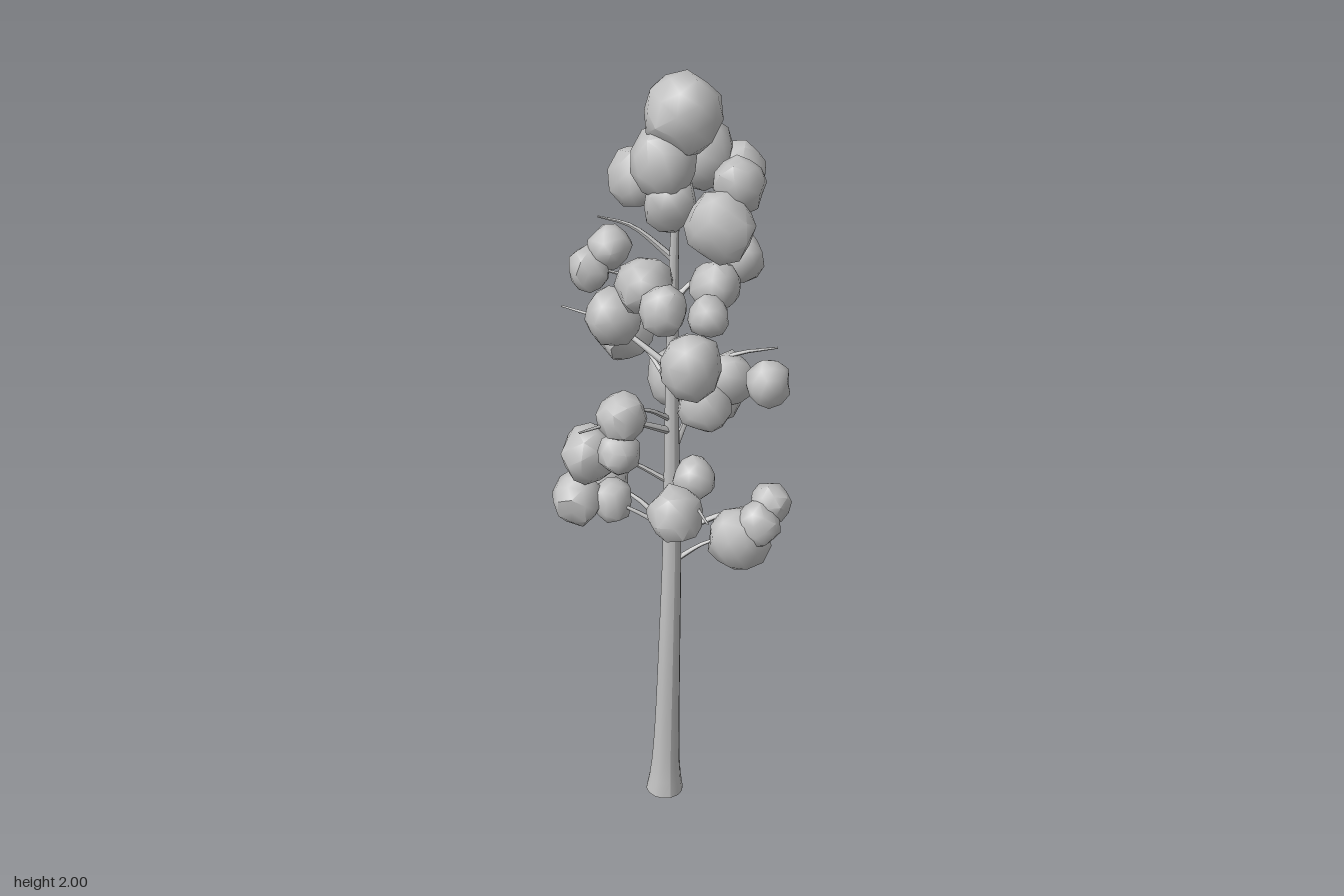
import * as THREE from 'three';
import { mergeVertices, toCreasedNormals } from 'three/addons/utils/BufferGeometryUtils.js';

const grey = new THREE.MeshStandardMaterial({ color: 0xc0c0c0 });
grey.name = 'grey';

let seed = 7;
const rand = () => {
  seed = (seed * 16807) % 2147483647;
  return seed / 2147483647;
};

// Tube along a curve, each ring scaled to the radius given for its place
function taperedTube(curve, steps, sides, radiusAt) {
  const geo = new THREE.TubeGeometry(curve, steps, 1, sides, false);
  const pos = geo.attributes.position;
  const centre = new THREE.Vector3(), v = new THREE.Vector3();
  for (let i = 0; i < pos.count; i++) {
    const t = Math.floor(i / (sides + 1)) / steps;
    curve.getPointAt(t, centre);
    v.fromBufferAttribute(pos, i).sub(centre).multiplyScalar(radiusAt(t)).add(centre);
    pos.setXYZ(i, v.x, v.y, v.z);
  }
  geo.computeVertexNormals();
  return geo;
}

// Lumpy low-poly ball, slightly taller than wide
function leafBall(radius) {
  let geo = new THREE.IcosahedronGeometry(1, 1);
  geo.deleteAttribute('normal');
  geo.deleteAttribute('uv');
  geo = mergeVertices(geo, 1e-3);
  const pos = geo.attributes.position;
  for (let i = 0; i < pos.count; i++) {
    const s = radius * (0.92 + 0.22 * rand());
    pos.setXYZ(i, pos.getX(i) * s, pos.getY(i) * s, pos.getZ(i) * s);
  }
  geo.rotateY(rand() * 6.28);
  geo.rotateX(rand() * 6.28);
  geo.scale(1, 1.07, 1);
  return toCreasedNormals(geo, 1);
}

// Trunk centre line: x, y, z
const trunkPoints = [
  [-0.04, 0, 0.016], [-0.032, 0.2, 0.014], [-0.023, 0.5, 0.012], [-0.014, 0.8, 0.006],
  [-0.012, 1.1, 0], [-0.008, 1.4, -0.004], [-0.003, 1.65, 0], [0.01, 1.88, 0.003],
].map((p) => new THREE.Vector3(...p));

// Leaf balls: x, y, z, radius
const balls = [
  // crown
  [0.015, 1.905, 0, 0.085], [-0.03, 1.8, 0, 0.076], [-0.02, 1.71, 0.015, 0.062],
  [0.1, 1.8, -0.23, 0.073], [-0.02, 1.69, -0.2, 0.07], [0.18, 1.725, -0.07, 0.064],
  [0.09, 1.775, -0.095, 0.076], [0.05, 1.695, 0.15, 0.077], [0.1, 1.78, 0.135, 0.057],
  // upper tier
  [0.17, 1.53, -0.03, 0.057], [0, 1.51, 0.21, 0.045], [0.08, 1.5, 0.045, 0.058],
  [-0.18, 1.52, -0.105, 0.05], [-0.13, 1.57, -0.1, 0.05], [-0.085, 1.515, 0.02, 0.066],
  [-0.08, 1.505, 0.14, 0.054], [-0.125, 1.385, -0.1, 0.066], [-0.02, 1.365, 0.155, 0.074],
  // middle tier
  [-0.065, 1.295, -0.195, 0.07], [0.175, 1.28, 0.15, 0.052], [0.12, 1.245, 0.035, 0.063],
  [-0.16, 1.21, 0.065, 0.056], [-0.165, 1.11, 0.06, 0.05], [0.06, 1.16, -0.165, 0.072],
  [0.09, 1.11, -0.22, 0.054], [0.12, 1.17, -0.04, 0.065], [0.055, 1.195, 0.05, 0.065],
  // lower tier
  [-0.2, 1.03, -0.09, 0.068], [0.005, 1.035, 0.115, 0.05], [-0.075, 0.995, 0.195, 0.064],
  [-0.22, 0.895, -0.115, 0.064], [-0.13, 0.895, -0.2, 0.075], [-0.14, 0.885, -0.09, 0.054],
  [0.14, 0.805, 0.07, 0.078], [0.22, 0.9, 0.08, 0.05], [0.18, 0.86, 0.1, 0.055],
];

// Bare twigs reaching past the leaves: tip x, y, z, and height on the trunk
const twigs = [
  [-0.275, 1.2, 0.09, 1.1], [0.28, 0.88, 0.065, 0.81], [-0.03, 1.02, 0.3, 0.92],
  [-0.215, 1.375, -0.225, 1.27], [-0.15, 1.64, -0.12, 1.56], [0.235, 1.32, 0.06, 1.21],
  [0.155, 1.14, -0.16, 1.04], [-0.14, 0.9, -0.15, 0.82],
];

export function createModel() {
  const tree = new THREE.Group();
  tree.name = 'tree';
  const add = (geo, name, parent = tree) => {
    const mesh = new THREE.Mesh(geo, grey);
    mesh.name = name;
    parent.add(mesh);
    return mesh;
  };

  // Trunk with flared foot
  const trunkCurve = new THREE.CatmullRomCurve3(trunkPoints);
  add(taperedTube(trunkCurve, 40, 14,
    (t) => 0.036 - 0.03 * t + 0.014 * Math.exp(-t * 26)), 'trunk');
  const base = add(new THREE.CircleGeometry(0.05, 14).rotateX(Math.PI / 2), 'trunkBase');
  base.position.copy(trunkPoints[0]);

  // Branches leave the trunk, rise and level out at the tip
  const branches = new THREE.Group();
  branches.name = 'branches';
  tree.add(branches);
  const branch = (x, y, z, fromY, radius, name) => {
    const start = trunkCurve.getPoint(0);
    for (let t = 0; t < 1 && start.y < fromY; t += 0.005) trunkCurve.getPoint(t, start);
    const tip = new THREE.Vector3(x, y, z);
    const bend = start.clone().lerp(tip, 0.55);
    bend.y = start.y + (tip.y - start.y) * 0.85;
    const curve = new THREE.CatmullRomCurve3([start, bend, tip]);
    add(taperedTube(curve, 8, 6, (t) => radius * (1 - 0.75 * t)), name, branches);
  };
  twigs.forEach(([x, y, z, fromY]) => branch(x, y, z, fromY, 0.01, 'twig'));

  // Leaf balls, every third outer one carried by its own branch
  const leaves = new THREE.Group();
  leaves.name = 'leaves';
  tree.add(leaves);
  balls.forEach(([x, y, z, r], i) => {
    add(leafBall(r), 'leafBall', leaves).position.set(x, y, z);
    if (i > 2 && i % 3 === 0) branch(x, y, z, y - 0.08, 0.008, 'branch');
  });
  return tree;
}
